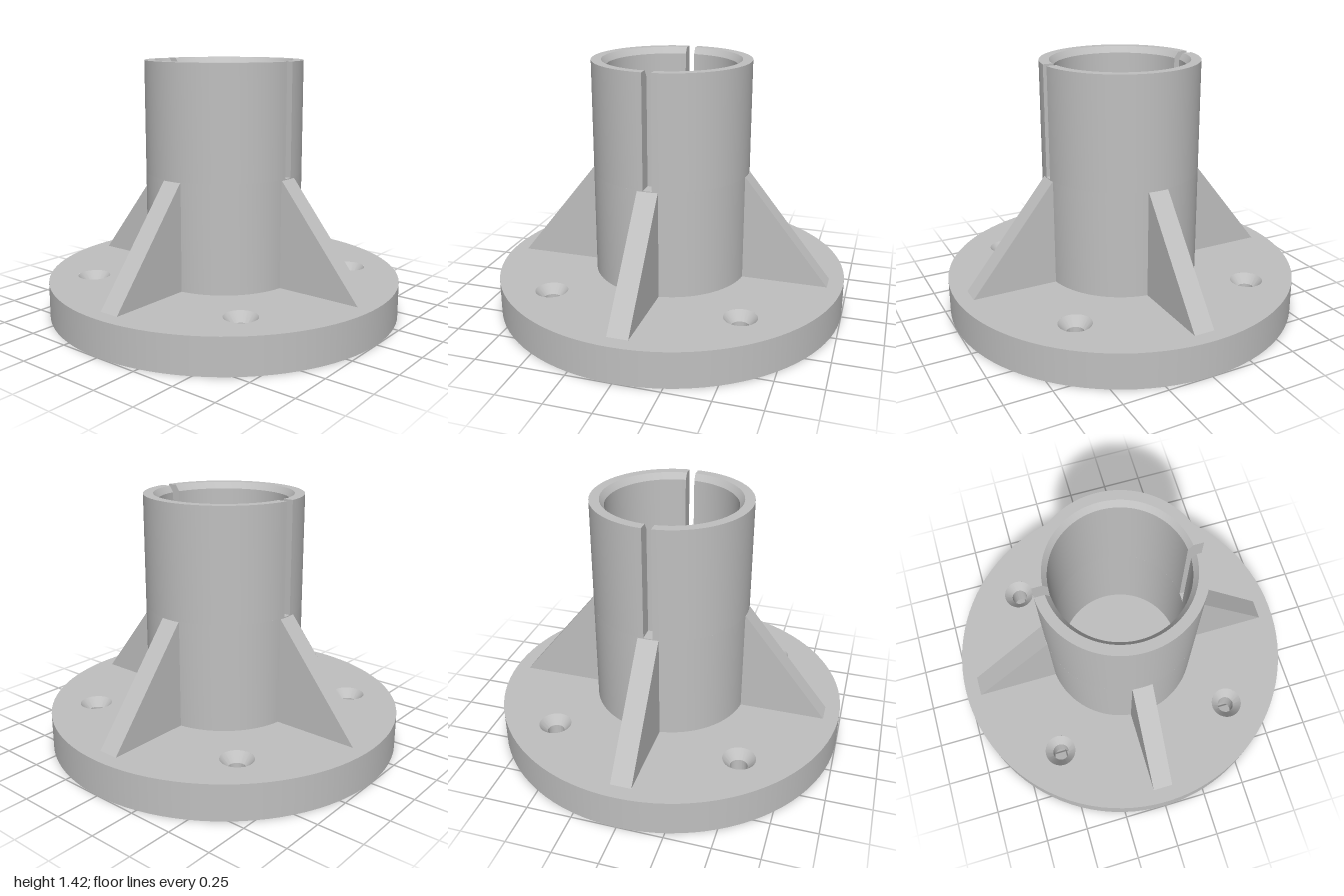
import * as THREE from 'three';
import { toCreasedNormals } from 'three/addons/utils/BufferGeometryUtils.js';

const SEG = 96;
const BASE_H = 0.2, SLOT_Y = 0.8, TOP_Y = 1.42;
const OUTER = 0.44, INNER = 0.36, SLOT_HALF = 0.025;
const BOLT = 0.53, BOLT_R = 0.047, SINK_R = 0.09;

const vecs = (pairs) => pairs.map(([x, y]) => new THREE.Vector2(x, y));
const lathe = (pairs, seg = SEG, angle = Math.PI * 2) =>
  new THREE.LatheGeometry(vecs(pairs), seg, 0, angle);

export function createModel() {
  const model = new THREE.Group();
  const grey = new THREE.MeshStandardMaterial({ color: 0xc0c0c0 });
  grey.name = 'grey metal';

  const add = (name, geometry, parent = model) => {
    const mesh = new THREE.Mesh(geometry, grey);
    mesh.name = name;
    parent.add(mesh);
    return mesh;
  };

  // Round base plate: rim, two drilled faces and countersunk hole linings
  const base = new THREE.Group();
  base.name = 'basePlate';
  model.add(base);
  const corners = [[1, 1], [1, -1], [-1, -1], [-1, 1]];
  const disc = (holeR) => {
    const shape = new THREE.Shape().absarc(0, 0, 1, 0, Math.PI * 2);
    for (const [sx, sz] of corners) {
      shape.holes.push(new THREE.Path().absarc(sx * BOLT, sz * BOLT, holeR, 0, Math.PI * 2, true));
    }
    return new THREE.ShapeGeometry(shape, SEG / 2);
  };
  add('baseRim', lathe([[1, 0], [1, BASE_H]]), base);
  add('baseTop', disc(SINK_R).rotateX(-Math.PI / 2).translate(0, BASE_H, 0), base);
  add('baseBottom', disc(BOLT_R).rotateX(Math.PI / 2), base);
  const lining = toCreasedNormals(
    lathe([[SINK_R, BASE_H], [BOLT_R, BASE_H - 0.05], [BOLT_R, 0]], 48), 0.5);
  for (const [sx, sz] of corners) {
    add('boltHole', lining, base).position.set(sx * BOLT, 0, sz * BOLT);
  }

  // Lower, unbroken part of the tube
  add('lowerTube', toCreasedNormals(lathe([
    [OUTER, BASE_H], [OUTER, SLOT_Y], [INNER, SLOT_Y], [INNER, BASE_H],
  ]), 0.5));

  // Upper tube: two halves with a chamfered mouth, parted by a parallel slot
  const profile = [
    [OUTER, SLOT_Y], [OUTER, TOP_Y], [0.385, TOP_Y], [INNER, TOP_Y - 0.035], [INNER, SLOT_Y],
  ];
  const half = lathe(profile, SEG / 2, Math.PI);
  const pos = half.attributes.position;
  for (let i = 0; i < pos.count; i++) {
    const x = Math.abs(pos.getX(i)), z = pos.getZ(i);
    const r = Math.hypot(x, z);
    const a = Math.asin(SLOT_HALF / r);
    const phi = a + Math.atan2(x, z) * (1 - 2 * a / Math.PI);
    pos.setX(i, r * Math.sin(phi));
    pos.setZ(i, r * Math.cos(phi));
  }
  const halfShell = toCreasedNormals(half, 0.5);
  const slotFace = (side) => new THREE.ShapeGeometry(new THREE.Shape(vecs(
    profile.map(([r, y]) => [side * Math.sqrt(r * r - SLOT_HALF * SLOT_HALF), y]),
  ))).rotateY(-Math.PI / 2).translate(SLOT_HALF, 0, 0);
  for (const [name, turn] of [['leftTubeHalf', 0], ['rightTubeHalf', Math.PI]]) {
    const group = new THREE.Group();
    group.name = name;
    group.rotation.y = turn;
    add('tubeShell', halfShell, group);
    add('frontSlotFace', slotFace(1), group);
    add('backSlotFace', slotFace(-1), group);
    model.add(group);
  }

  // Four triangular ribs, sunk slightly into the tube wall
  const ribW = 0.115;
  const rib = new THREE.ExtrudeGeometry(new THREE.Shape(vecs([
    [0.4, BASE_H], [0.915, BASE_H], [OUTER, 0.795], [0.4, 0.795],
  ])), { depth: ribW, bevelEnabled: false }).translate(0, 0, -ribW / 2);
  ['leftRib', 'backRib', 'rightRib', 'frontRib'].forEach((name, i) => {
    add(name, rib).rotation.y = i * Math.PI / 2;
  });

  return model;
}
